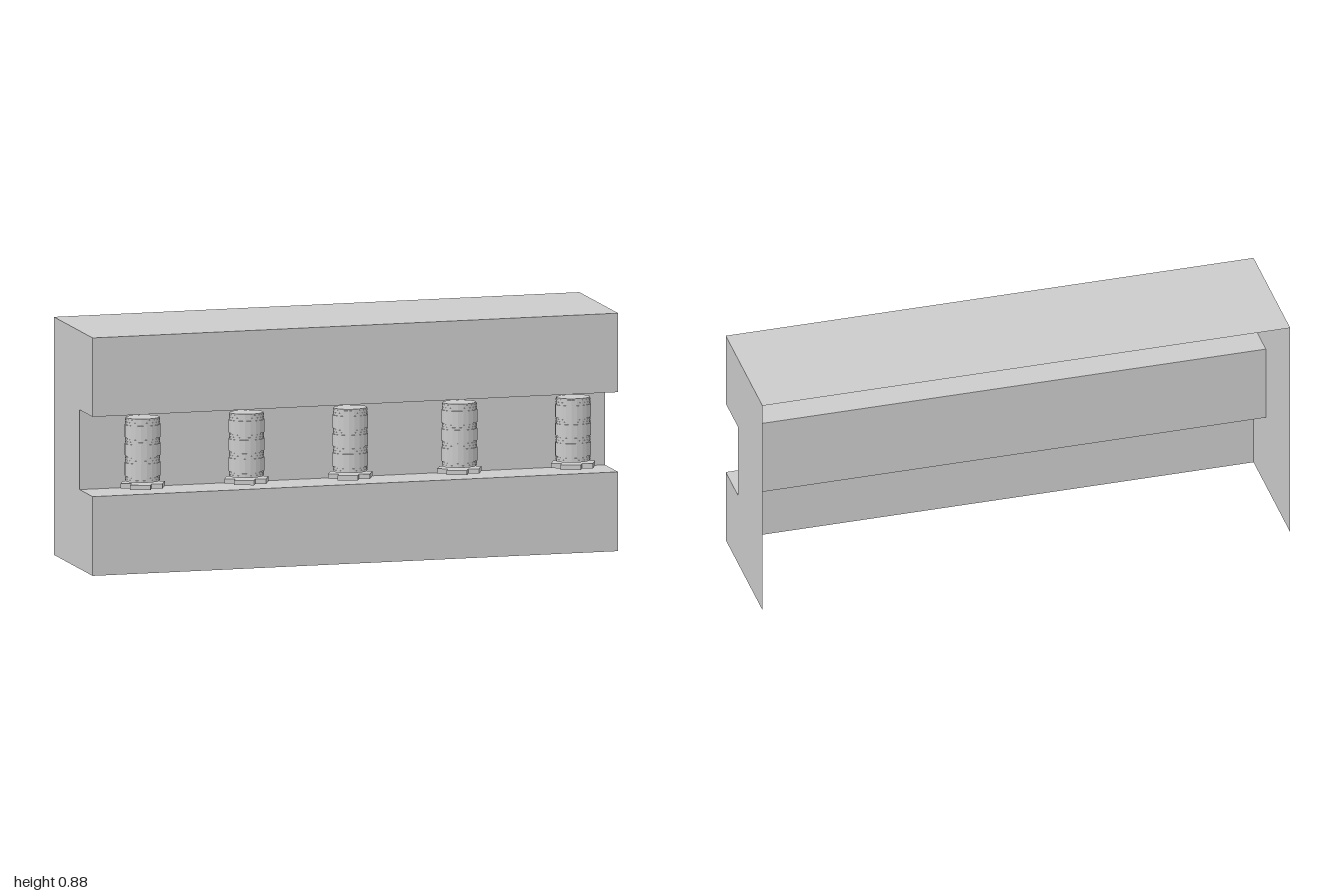
import * as THREE from 'three';

const mat = new THREE.MeshStandardMaterial({ color: 0xcccccc, flatShading: true, side: THREE.DoubleSide });

function add(parent, name, geometry, x = 0, y = 0, z = 0) {
  const mesh = new THREE.Mesh(geometry, mat);
  mesh.name = name;
  mesh.position.set(x, y, z);
  parent.add(mesh);
  return mesh;
}

// Side profile as [z, y], from the back top edge round the notch to the front bottom edge
const BACK = -0.263, FRONT = 0.237, NOTCH = 0.07, TOP = 0.88;
const PROFILE = [[BACK, TOP], [FRONT, TOP], [FRONT, 0.588], [NOTCH, 0.588], [NOTCH, 0.293], [FRONT, 0.293], [FRONT, 0]];
const PANELS = ['topPanel', 'upperFrontPanel', 'recessCeiling', 'recessBack', 'recessFloor', 'lowerFrontPanel'];

// Thin shell, open at the back and underneath
function makeHousing() {
  const housing = new THREE.Group();
  housing.name = 'housing';
  PANELS.forEach((name, i) => {
    const [z0, y0] = PROFILE[i], [z1, y1] = PROFILE[i + 1];
    const panel = add(housing, name, new THREE.PlaneGeometry(2, Math.hypot(z1 - z0, y1 - y0)),
      0, (y0 + y1) / 2, (z0 + z1) / 2);
    if (y0 === y1) panel.rotation.x = name === 'recessCeiling' ? Math.PI / 2 : -Math.PI / 2;
  });
  // End walls share the notched profile
  const outline = [...PROFILE, [BACK, 0]].map(([z, y]) => new THREE.Vector2(-z, y));
  for (const side of [-1, 1]) {
    const wall = add(housing, side > 0 ? 'leftEndWall' : 'rightEndWall',
      new THREE.ShapeGeometry(new THREE.Shape(outline)), side);
    wall.rotation.y = Math.PI / 2;
  }
  return housing;
}

// Banded column: full bodies between slightly recessed, ribbed rings
function columnGeometry() {
  const body = 0.0535, ring = 0.0505, rib = 0.052;
  const rings = [[0.335, 0.355], [0.405, 0.43], [0.475, 0.497], [0.545, 0.571]];
  const points = [[0, 0.335]];
  rings.forEach(([a, b], i) => {
    const h = (b - a) / 5;
    points.push([ring, a]);
    for (const k of [1, 3]) {
      points.push([ring, a + k * h], [rib, a + k * h], [rib, a + (k + 1) * h], [ring, a + (k + 1) * h]);
    }
    points.push([ring, b]);
    if (i < 3) points.push([body, b], [body, rings[i + 1][0]]);
  });
  points.push([0, 0.571]);
  return new THREE.LatheGeometry(points.map(([r, y]) => new THREE.Vector2(r, y)), 20);
}

// Four-armed base plate, turned a little about the vertical
function footGeometry() {
  const L = 0.066, h = 0.032;
  const corners = [];
  for (let i = 0; i < 4; i++) {
    for (const [x, y] of [[L, -h], [L, h], [h, h]]) {
      corners.push(new THREE.Vector2(x, y).rotateAround(new THREE.Vector2(), i * Math.PI / 2 - 0.36));
    }
  }
  const geometry = new THREE.ExtrudeGeometry(new THREE.Shape(corners), { depth: 0.018, bevelEnabled: false });
  return geometry.rotateX(-Math.PI / 2);
}

export function createModel() {
  const model = new THREE.Group();
  model.name = 'columnDisplay';
  model.add(makeHousing());

  // Row of columns standing in the recess
  const column = columnGeometry().scale(1.25, 1, 1);
  const foot = footGeometry().scale(1.18, 1, 1);
  for (const x of [-0.795, -0.4, -0.005, 0.41, 0.843]) {
    const pillar = new THREE.Group();
    pillar.name = 'pillar';
    pillar.position.set(x, 0, 0.188);
    add(pillar, 'bandedColumn', column);
    add(pillar, 'crossFoot', foot, 0, 0.311, 0);
    model.add(pillar);
  }
  return model;
}
